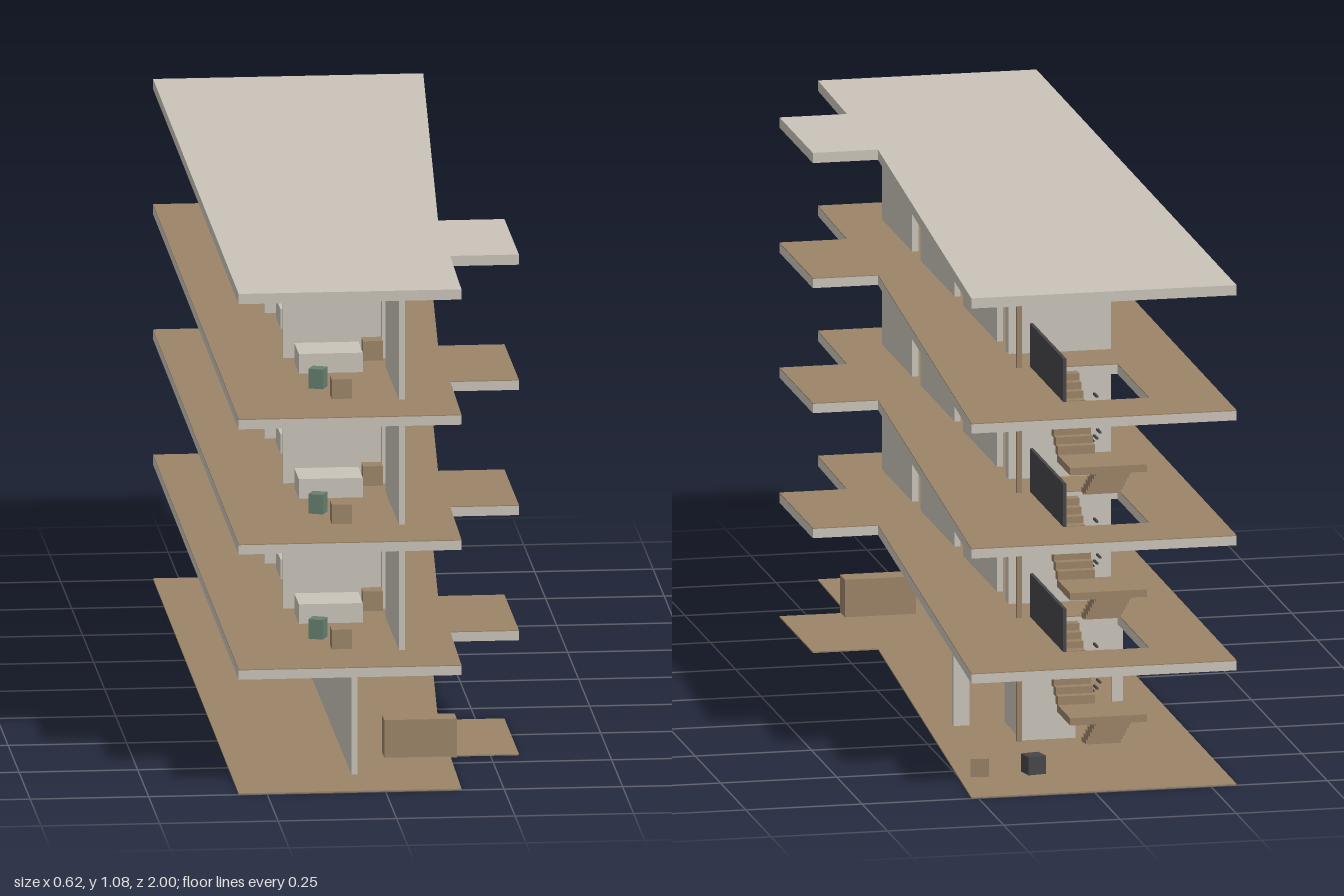
import * as THREE from 'three';

const mat = (name, color) => Object.assign(new THREE.MeshStandardMaterial({ color }), { name });

export function createModel() {
  const concrete = mat('concrete', 0xc9c3b8);
  const wood = mat('wood', 0x9b8468);
  const green = mat('green', 0x66806f);
  const dark = mat('dark', 0x46464a);
  const model = new THREE.Group();
  model.name = 'building';

  // Box given by its bounds on each axis
  function box(parent, name, m, [x0, x1], [y0, y1], [z0, z1], turn = 0) {
    const mesh = new THREE.Mesh(new THREE.BoxGeometry(x1 - x0, y1 - y0, z1 - z0), m);
    mesh.position.set((x0 + x1) / 2, (y0 + y1) / 2, (z0 + z1) / 2);
    mesh.rotation.y = turn;
    mesh.name = name;
    parent.add(mesh);
    return mesh;
  }

  // Flat plate following the plan outline, with an optional stairwell
  const outline = [[-0.31, 1], [0.16, 1], [0.165, 0.69], [0.31, 0.69], [0.31, 0.36],
    [0.17, 0.36], [0.265, -1], [-0.305, -1]];
  const well = [[-0.15, -0.535], [-0.15, -0.85], [0.025, -0.85], [0.025, -0.535]];
  function plate(parent, name, m, y, depth, open) {
    const points = (list) => list.map(([x, z]) => new THREE.Vector2(x, -z));
    const shape = new THREE.Shape(points(outline));
    if (open) shape.holes.push(new THREE.Path(points(well)));
    const mesh = new THREE.Mesh(
      new THREE.ExtrudeGeometry(shape, { depth, bevelEnabled: false }).rotateX(-Math.PI / 2), m);
    mesh.position.y = y;
    mesh.name = name;
    parent.add(mesh);
  }

  // Half-turn stair climbing one storey from height y
  function stair(y) {
    const g = new THREE.Group();
    g.name = 'staircase';
    g.position.y = y;
    const steps = 9, run = 0.175 / steps, rise = 0.0125;
    for (let i = 0; i < steps; i++) {
      const z = -0.55 - i * run;
      const top = (i + 1) * rise;
      box(g, 'lowerStep', wood, [-0.145, -0.07], [Math.max(0, top - 0.02), top], [z - run - 0.004, z]);
      const high = 0.263 - i * 0.0148;
      box(g, 'upperStep', wood, [-0.06, 0.02], [high - 0.02, high], [z - run - 0.004, z]);
    }
    box(g, 'landing', wood, [-0.145, 0.02], [0.11, 0.126], [-0.85, -0.72]);
    // Small rail bars between the flights
    for (const [z, h] of [[-0.6, 0.115], [-0.65, 0.135], [-0.69, 0.15], [-0.72, 0.17],
      [-0.72, 0.195], [-0.7, 0.215], [-0.69, 0.24]]) {
      box(g, 'railBar', dark, [-0.072, -0.067], [h, h + 0.004], [z - 0.015, z + 0.015]);
    }
    model.add(g);
  }

  // Ground plate, slabs with timber floors, and roof
  const floors = [0.27, 0.54, 0.81];
  plate(model, 'ground', wood, 0, 0.003, false);
  for (const y of floors) {
    plate(model, 'slab', concrete, y - 0.022, 0.02, true);
    plate(model, 'floorFinish', wood, y - 0.002, 0.002, true);
  }
  plate(model, 'roof', concrete, 1.058, 0.022, false);
  for (let i = 0; i < 3; i++) stair(i * 0.27);

  // Ground floor walls
  const low = [0, 0.25], lintel = [0.19, 0.25];
  box(model, 'groundSpineWall', concrete, [-0.058, -0.045], low, [-0.35, 0.85]);
  box(model, 'groundSideWall', concrete, [0.04, 0.052], low, [-0.52, -0.35]);
  box(model, 'entranceWall', concrete, [-0.058, 0.05], low, [-0.362, -0.347]);
  box(model, 'entranceLintel', concrete, [0.05, 0.165], lintel, [-0.362, -0.347]);
  box(model, 'entrancePier', concrete, [0.13, 0.165], [0, 0.19], [-0.362, -0.347]);
  box(model, 'stairWallPier', concrete, [-0.165, -0.142], low, [-0.52, -0.508]);
  box(model, 'stairWallLintel', concrete, [-0.142, -0.063], lintel, [-0.52, -0.508]);
  box(model, 'stairWall', concrete, [-0.063, 0.052], low, [-0.52, -0.508]);

  // Timber posts
  box(model, 'groundPost', wood, [-0.042, -0.03], low, [-0.346, -0.333]);
  for (const y of [0, ...floors]) {
    box(model, 'stairPost', wood, [0.054, 0.065], [y, y + 0.25], [-0.531, -0.52]);
  }

  // Upper storeys: corridor wall with doorways, cross walls and furnished rooms
  for (const y of floors) {
    const g = new THREE.Group();
    g.name = 'storey';
    g.position.y = y;
    const wallX = [0.042, 0.055];
    let front = 0.85;
    for (let r = 0; r < 3; r++) {
      const s = -r * 0.418;
      const doorFront = 0.55 + s, doorBack = 0.466 + s;
      box(g, 'corridorWall', concrete, wallX, [0, 0.25], [doorFront, front]);
      box(g, 'doorLintel', concrete, wallX, [0.193, 0.25], [doorBack, doorFront]);
      front = doorBack;
      box(g, 'crossWall', concrete, [-0.165, 0.042], [0, 0.25], [0.433 + s, 0.446 + s]);
      box(g, 'bed', concrete, [-0.145, -0.01], [0, 0.042], [0.487 + s, 0.59 + s]);
      box(g, 'nightstand', wood, [0, 0.042], [0, 0.042], [0.446 + s, 0.486 + s]);
      box(g, 'table', wood, [-0.098, -0.055], [0, 0.042], [0.79 + s, 0.832 + s]);
      box(g, 'armchair', green, [-0.133, -0.101], [0, 0.042], [0.704 + s, 0.736 + s], -0.4);
    }
    box(g, 'corridorWall', concrete, wallX, [0, 0.25], [-0.4, front]);
    box(g, 'stairGuard', dark, [0.028, 0.035], [0, 0.093], [-0.85, -0.52]);
    model.add(g);
  }

  // Loose pieces on the ground
  box(model, 'receptionCounter', wood, [0.025, 0.178], [0, 0.084], [0.65, 0.7]);
  box(model, 'woodenSeat', wood, [0.186, 0.224], [0, 0.042], [-0.825, -0.787], -0.25);
  box(model, 'darkSeat', dark, [0.07, 0.11], [0, 0.042], [-0.83, -0.79], 0.2);

  return model;
}
